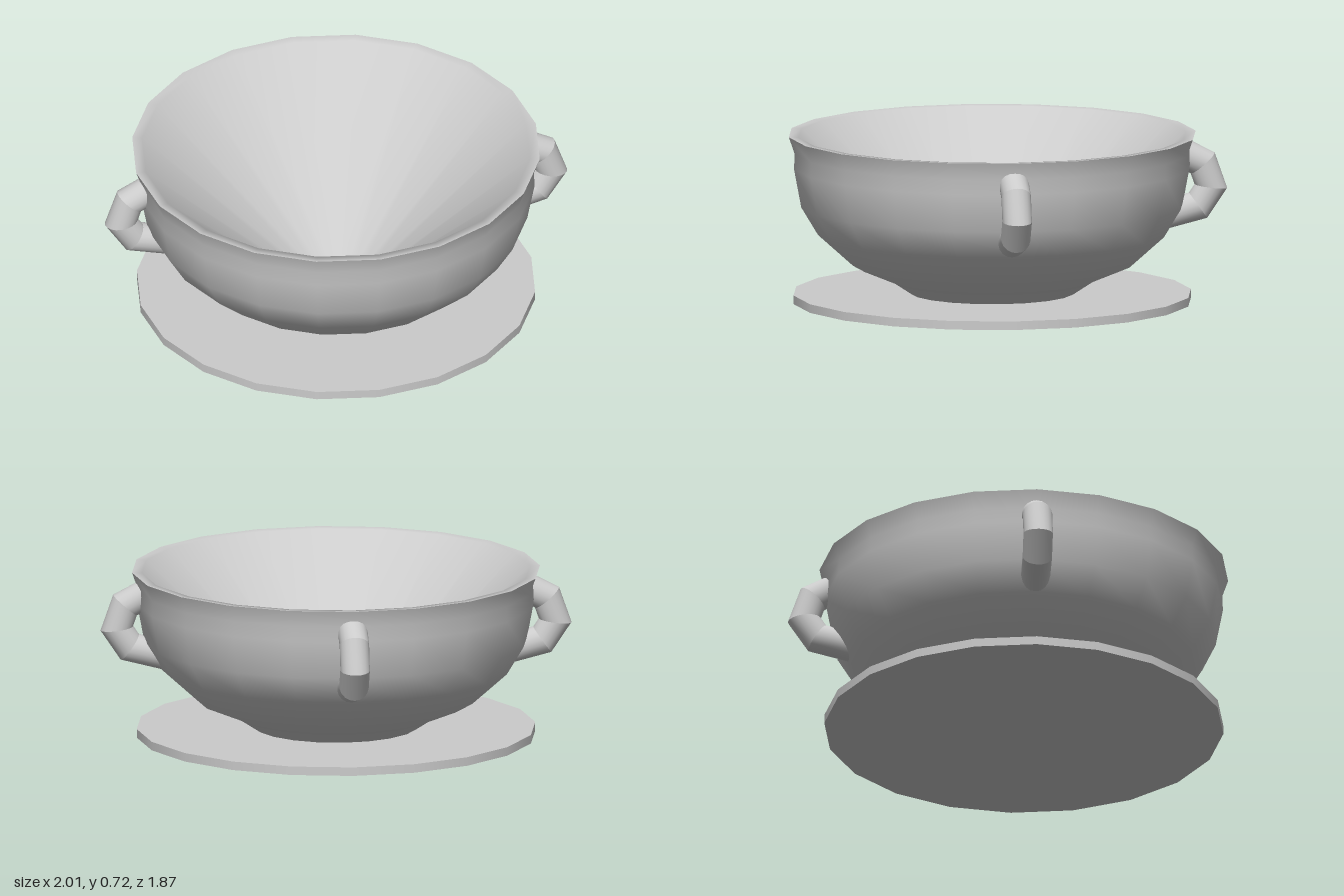
import * as THREE from 'three';
import { mergeGeometries } from 'three/addons/utils/BufferGeometryUtils.js';

const SIDES = 20;
const CENTRE_Z = 0.067;
const v2 = (p) => new THREE.Vector2(p[0], p[1]);

// Round bar along a bent path in the x-y plane, mitred at every corner
function mitredBar(points, radius, sides) {
  const path = points.map(v2);
  const last = path.length - 1;
  const dirs = path.slice(1).map((p, i) => p.clone().sub(path[i]).normalize());
  const rings = path.map((p, i) => {
    const a = dirs[Math.max(i - 1, 0)];
    const b = dirs[Math.min(i, last - 1)];
    const t = a.clone().add(b).normalize();
    const stretch = radius / t.dot(a);
    const ring = [];
    for (let k = 0; k < sides; k++) {
      const ang = (k / sides) * Math.PI * 2;
      const c = Math.cos(ang) * stretch;
      ring.push(p.x - t.y * c, p.y + t.x * c, Math.sin(ang) * radius);
    }
    return ring;
  });
  // one separate sleeve per segment keeps the mitres crisp
  const sleeves = [];
  for (let i = 0; i < last; i++) {
    const index = [];
    for (let k = 0; k < sides; k++) {
      const n = (k + 1) % sides;
      index.push(k, n, sides + k, n, sides + n, sides + k);
    }
    const g = new THREE.BufferGeometry();
    g.setAttribute('position', new THREE.Float32BufferAttribute([...rings[i], ...rings[i + 1]], 3));
    g.setIndex(index);
    g.computeVertexNormals();
    sleeves.push(g);
  }
  return mergeGeometries(sleeves);
}

export function createModel() {
  const model = new THREE.Group();
  model.name = 'handledBowl';
  const grey = new THREE.MeshStandardMaterial({ color: 0xcccccc, side: THREE.DoubleSide });
  const add = (name, geometry, y = 0) => {
    const mesh = new THREE.Mesh(geometry, grey);
    mesh.name = name;
    mesh.position.set(0, y, CENTRE_Z);
    model.add(mesh);
    return mesh;
  };
  const lathe = (points) => new THREE.LatheGeometry(points.map(v2), SIDES);

  // Saucer
  add('saucer', new THREE.CylinderGeometry(0.85, 0.85, 0.037, SIDES), 0.0185);

  // Bowl: rounded outside with a flared lip
  add('bowlOutside', lathe([
    [0.35, 0.037], [0.435, 0.093], [0.595, 0.16], [0.745, 0.295],
    [0.817, 0.415], [0.848, 0.58], [0.845, 0.645], [0.87, 0.717],
  ]));

  // Bowl: flat rim, straight conical inside and its small floor
  add('bowlInside', lathe([[0.87, 0.717], [0.828, 0.715], [0.115, 0.045]]));
  add('bowlFloor', new THREE.CircleGeometry(0.115, SIDES).rotateX(-Math.PI / 2), 0.045);

  // Three handles: left, back and right
  const bar = mitredBar(
    [[0.8, 0.63], [0.9, 0.578], [0.935, 0.478], [0.88, 0.396], [0.7, 0.35]], 0.063, 18);
  ['leftHandle', 'backHandle', 'rightHandle'].forEach((name, i) => {
    add(name, bar).rotation.y = (i * Math.PI) / 2;
  });

  return model;
}
